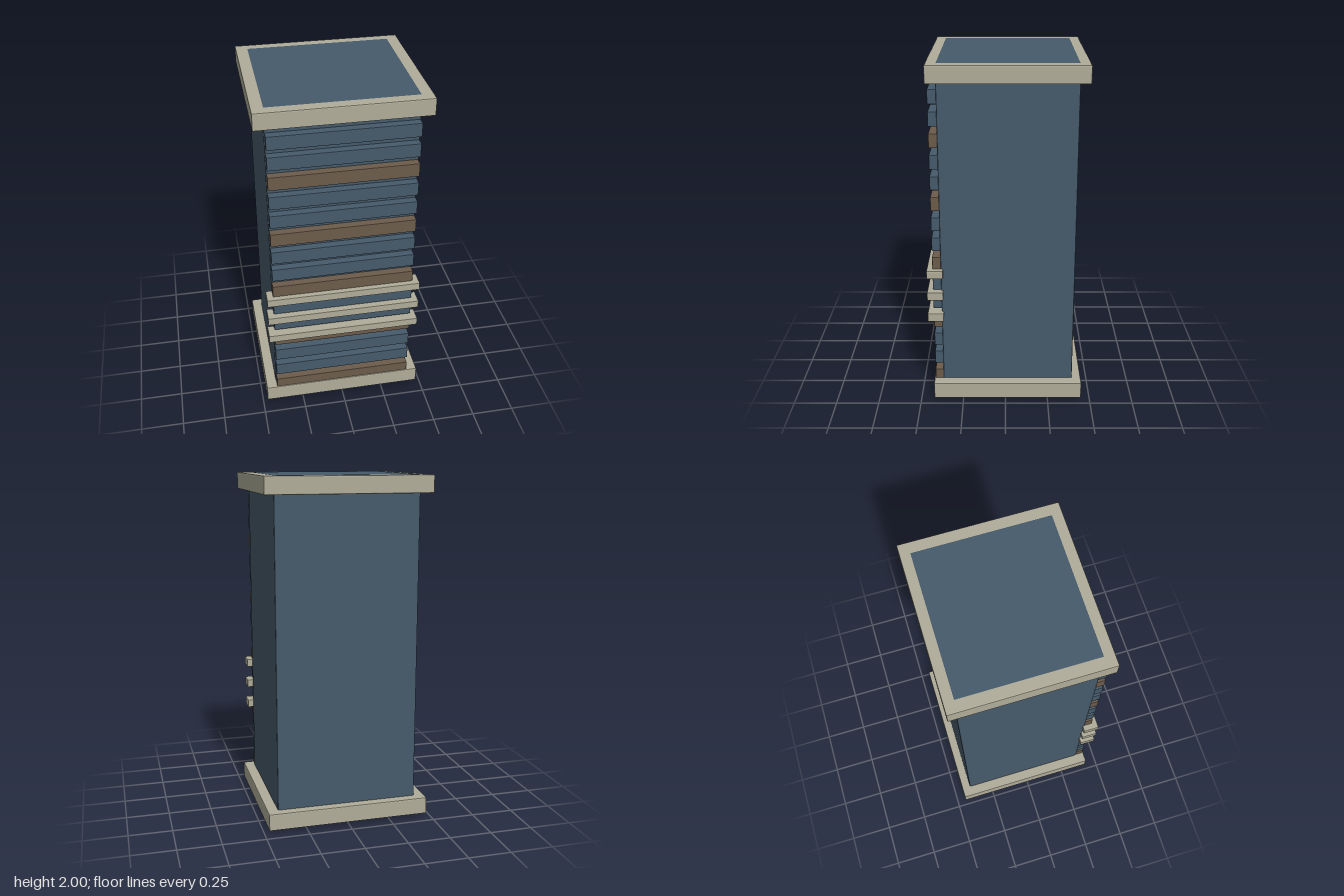
import * as THREE from 'three';
import { RoundedBoxGeometry } from 'three/addons/geometries/RoundedBoxGeometry.js';

const paint = (name, color) => {
  const m = new THREE.MeshStandardMaterial({ color });
  m.name = name;
  return m;
};

export function createModel() {
  const group = new THREE.Group();
  group.name = 'slattedTower';
  const blue = paint('slate blue', 0x465a6b);
  const stone = paint('pale stone', 0xb0ad9a);
  const brown = paint('weathered brown', 0x6c5c4b);

  // Box with narrow flat chamfers, given by its extents
  const block = (name, material, halfX, y0, y1, z0, z1, chamfer) => {
    const geometry = new RoundedBoxGeometry(halfX * 2, y1 - y0, z1 - z0, 1, chamfer);
    geometry.computeVertexNormals();
    const mesh = new THREE.Mesh(geometry, material);
    mesh.name = name;
    mesh.position.set(0, (y0 + y1) / 2, (z0 + z1) / 2);
    group.add(mesh);
  };

  // Main shaft, just showing through the plates at both ends
  block('shaft', blue, 0.413, 0, 2, -0.395, 0.368, 0.008);

  // Base and top plates
  block('basePlate', stone, 0.474, 0.02, 0.12, -0.447, 0.421, 0.006);
  block('topPlate', stone, 0.474, 1.9, 1.999, -0.447, 0.421, 0.006);

  // Front slats, every third one brown
  for (let i = 0; i < 15; i++) {
    const y = 0.14 + i * 0.12;
    block('slat', i % 3 === 0 ? brown : blue, 0.41, y - 0.04, y + 0.04, 0.366, 0.415, 0.004);
  }

  // Protruding trim bars
  for (let i = 0; i < 3; i++) {
    const y = 0.538 + i * 0.134;
    block('trimBar', stone, 0.447, y - 0.024, y + 0.024, 0.355, 0.447, 0.004);
  }

  return group;
}
